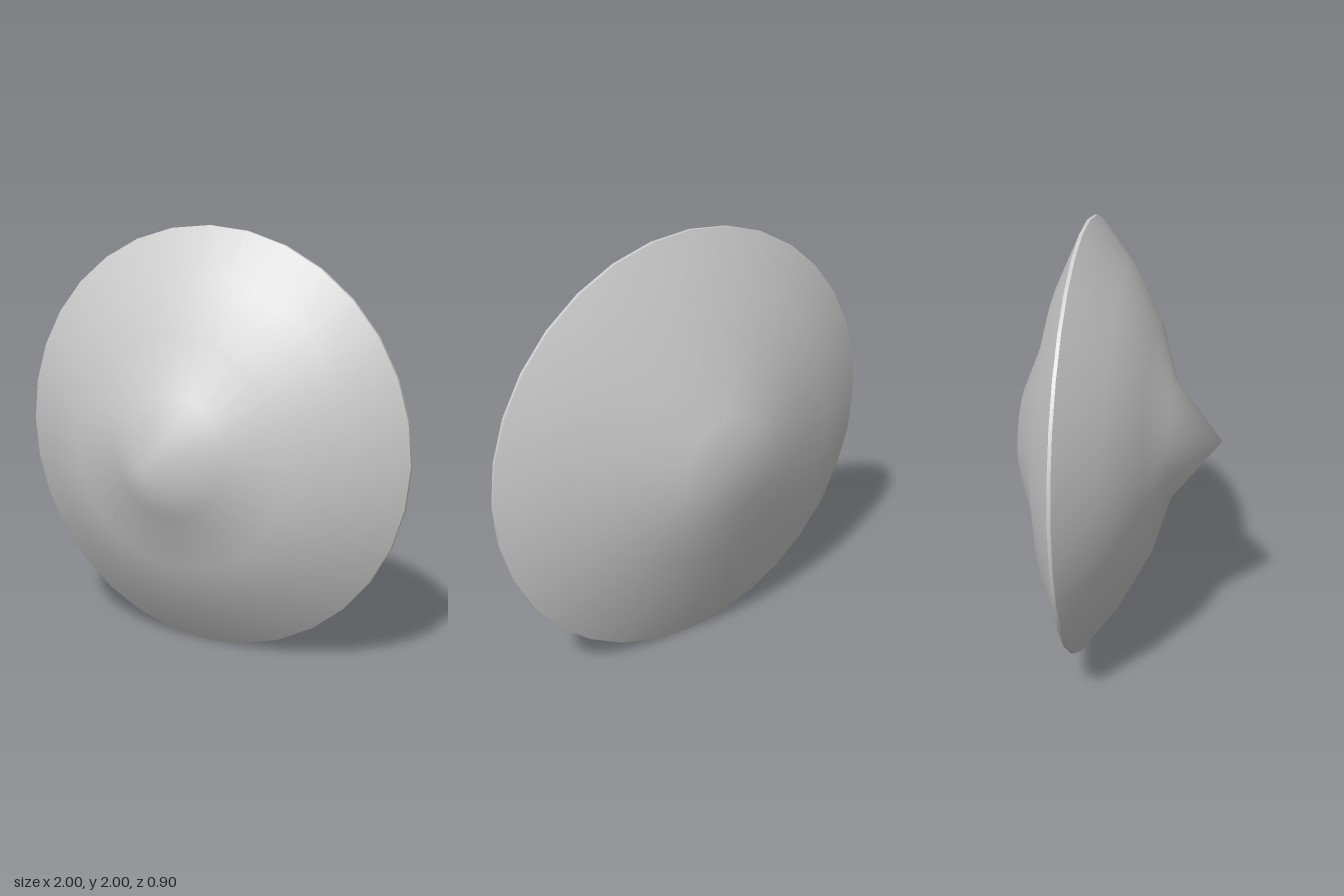
import * as THREE from 'three';
import { mergeVertices } from 'three/addons/utils/BufferGeometryUtils.js';

const SIDES = 32;

// Turned surface about the z axis; profile is [radius, z] from back to front.
function turned(name, profile, material) {
  const lathe = new THREE.LatheGeometry(profile.map(([r, z]) => new THREE.Vector2(r, z)), SIDES);
  lathe.rotateX(Math.PI / 2);
  // Weld the seam and the pole so the shading is smooth all over
  lathe.deleteAttribute('normal');
  lathe.deleteAttribute('uv');
  const geometry = mergeVertices(lathe, 1e-4);
  geometry.computeVertexNormals();
  const mesh = new THREE.Mesh(geometry, material);
  mesh.name = name;
  mesh.position.y = 1;
  return mesh;
}

export function createModel() {
  const group = new THREE.Group();
  group.name = 'shield';
  const grey = new THREE.MeshStandardMaterial({ color: 0xcccccc });

  // Domed back with a flat centre
  group.add(turned('back', [[0, -0.45], [0.24, -0.45], [0.49, -0.35], [0.745, -0.28], [1, -0.165]], grey));
  // Thin edge band
  group.add(turned('rim', [[1, -0.165], [1, -0.15]], grey));
  // Domed front rising to a pointed boss
  group.add(turned('front', [[1, -0.15], [0.79, 0.01], [0.54, 0.145], [0.275, 0.225], [0, 0.45]], grey));

  return group;
}
